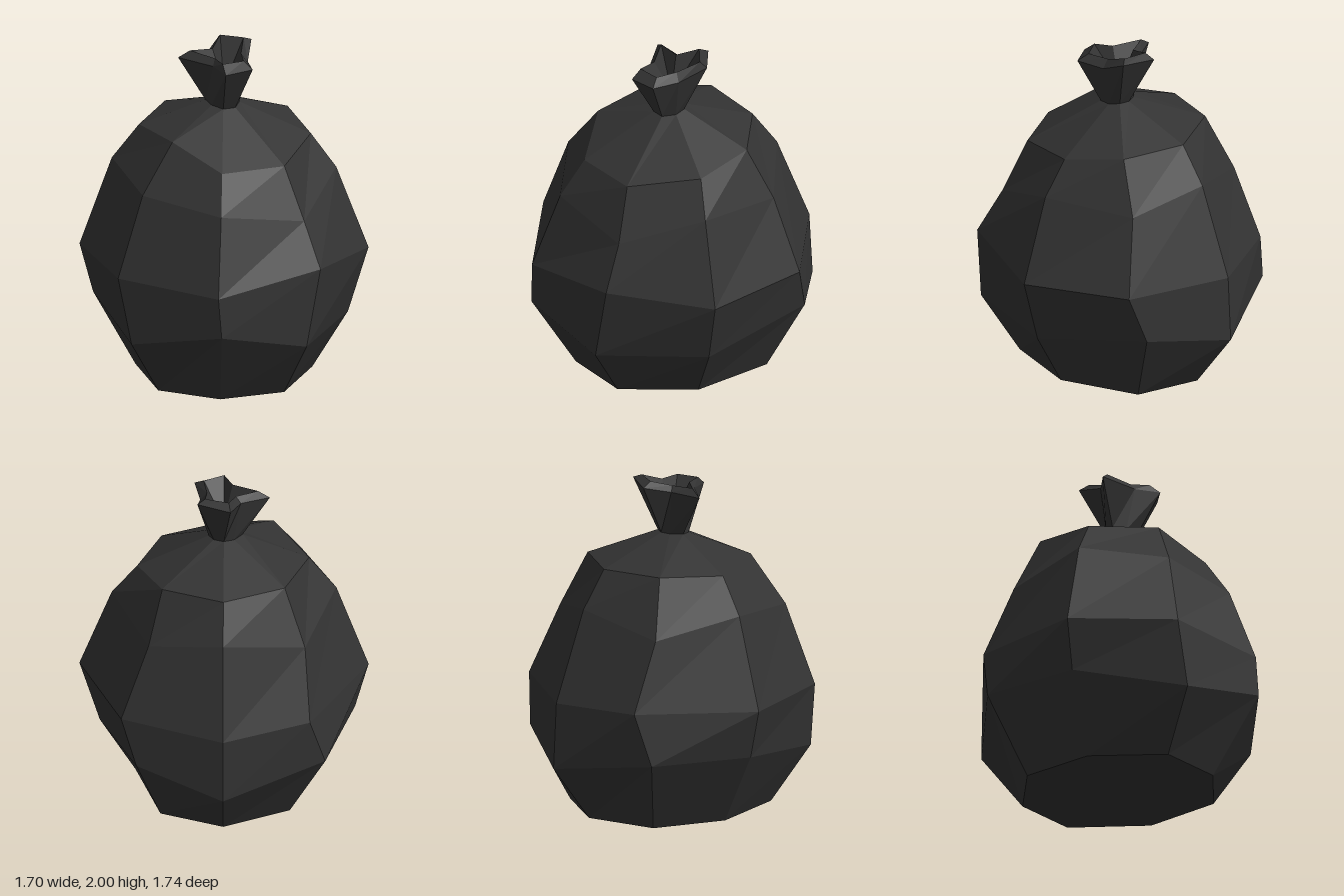
import * as THREE from 'three';

// Skin a stack of eight-point cross-sections into faceted quads.
// Each ring runs anticlockwise seen from above, starting at the front.
function skin(rings) {
  const pos = [];
  const tri = (a, b, c) => pos.push(...a, ...b, ...c);
  for (let r = 0; r < rings.length - 1; r++) {
    const lo = rings[r], hi = rings[r + 1], n = lo.length;
    for (let i = 0; i < n; i++) {
      const j = (i + 1) % n;
      tri(lo[i], lo[j], hi[j]);
      tri(lo[i], hi[j], hi[i]);
    }
  }
  return pos;
}

// Close a ring with a fan to a single point.
function fan(ring, tip, down) {
  const pos = [];
  ring.forEach((p, i) => {
    const q = ring[(i + 1) % ring.length];
    pos.push(...(down ? q : p), ...(down ? p : q), ...tip);
  });
  return pos;
}

function part(name, pos, material) {
  const geo = new THREE.BufferGeometry();
  geo.setAttribute('position', new THREE.Float32BufferAttribute(pos, 3));
  geo.computeVertexNormals();
  const mesh = new THREE.Mesh(geo, material);
  mesh.name = name;
  return mesh;
}

export function createModel() {
  const group = new THREE.Group();
  group.name = 'tiedSack';
  const plastic = new THREE.MeshStandardMaterial({ color: 0x333333, flatShading: true });
  plastic.name = 'blackPlastic';

  // Sack cross-sections, bottom to top
  const base = [[0, 0, 0.59], [0.37, 0, 0.45], [0.52, 0, 0], [0.37, 0, -0.47],
    [0, 0, -0.61], [-0.39, 0, -0.43], [-0.52, 0, 0], [-0.37, 0, 0.45]];
  const belly = [[0.02, 0.48, 0.87], [0.51, 0.35, 0.63], [0.73, 0.35, 0], [0.51, 0.46, -0.66],
    [0, 0.35, -0.87], [-0.6, 0.46, -0.6], [-0.77, 0.45, 0], [-0.52, 0.35, 0.63]];
  const waist = [[0, 0.72, 0.86], [0.59, 0.82, 0.59], [0.85, 0.75, 0], [0.6, 0.75, -0.6],
    [0, 0.75, -0.85], [-0.51, 0.77, -0.66], [-0.85, 0.75, 0], [-0.6, 0.75, 0.6]];
  const chest = [[0.01, 1.17, 0.69], [0.49, 1.08, 0.48], [0.66, 1.25, 0], [0.44, 1.19, -0.49],
    [0, 1.29, -0.65], [-0.48, 1.18, -0.48], [-0.66, 1.29, 0], [-0.46, 1.23, 0.49]];
  const shoulder = [[0.01, 1.39, 0.54], [0.37, 1.39, 0.39], [0.51, 1.45, -0.02], [0.36, 1.5, -0.35],
    [0, 1.51, -0.5], [-0.36, 1.52, -0.36], [-0.5, 1.5, 0], [-0.29, 1.52, 0.36]];
  const neck = [[0, 1.64, 0.11], [0.07, 1.64, 0.08], [0.09, 1.65, 0], [0.06, 1.66, -0.06],
    [0, 1.66, -0.08], [-0.06, 1.66, -0.06], [-0.11, 1.66, 0], [-0.07, 1.65, 0.07]];

  group.add(part('sackBody', [
    ...fan(base, [0, 0, 0], true),
    ...skin([base, belly, waist, chest, shoulder, neck]),
  ], plastic));

  // Gathered, flared top above the knot with a folded-in lip
  const flare = [[0.02, 1.9, 0.25], [0.175, 1.91, 0.17], [0.14, 1.9, 0], [0.155, 1.98, -0.17],
    [-0.04, 1.97, -0.24], [-0.1, 1.93, -0.08], [-0.27, 1.92, 0], [-0.06, 1.91, 0.12]];
  const lip = [[0, 1.95, 0.19], [0.12, 1.95, 0.13], [0.1, 1.95, 0], [0.11, 2, -0.14],
    [-0.03, 2, -0.18], [-0.07, 1.96, -0.05], [-0.2, 1.965, 0], [-0.05, 1.95, 0.09]];

  group.add(part('gatheredTop', [
    ...skin([neck, flare, lip]),
    ...fan(lip, [0, 1.75, 0], false),
  ], plastic));

  return group;
}
